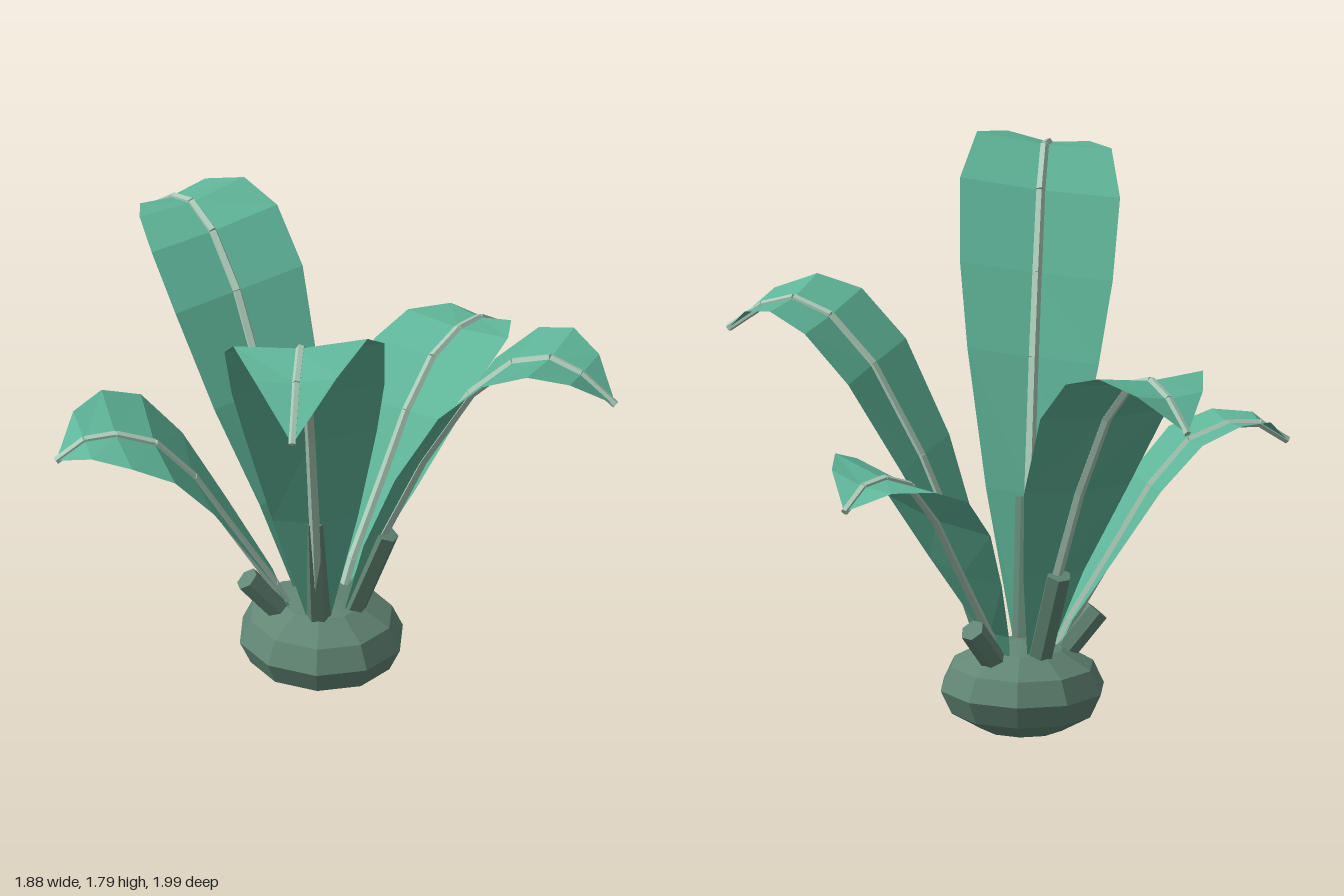
import * as THREE from 'three';

const leafMat = new THREE.MeshStandardMaterial({ color: 0x5fb599, flatShading: true, side: THREE.DoubleSide });
leafMat.name = 'leafGreen';
const bulbMat = new THREE.MeshStandardMaterial({ color: 0x628675, flatShading: true });
bulbMat.name = 'bulbGreyGreen';
const ribMat = new THREE.MeshStandardMaterial({ color: 0xaacab8, flatShading: true });
ribMat.name = 'ribPaleGreen';

// Leaf rows as (distance from the centre, height, half width), and the end of the sheath
const SHORT = {
  rows: [[0.1, 0.24, 0.03], [0.16, 0.37, 0.07], [0.3, 0.595, 0.155], [0.43, 0.81, 0.22],
    [0.56, 0.955, 0.24], [0.69, 1.005, 0.215], [0.795, 1.0, 0.13], [0.89, 0.935, 0]],
  sheath: [0.25, 0.4],
};
const MEDIUM = {
  rows: [[0.09, 0.24, 0.03], [0.215, 0.58, 0.115], [0.36, 0.9, 0.2], [0.53, 1.19, 0.243],
    [0.68, 1.34, 0.24], [0.81, 1.385, 0.2], [0.92, 1.35, 0.125], [1.04, 1.26, 0]],
  sheath: [0.23, 0.59],
};
const TALL = {
  rows: [[0.1, 0.24, 0.03], [0.27, 0.735, 0.14], [0.44, 1.15, 0.215], [0.57, 1.4, 0.25],
    [0.715, 1.64, 0.262], [0.87, 1.75, 0.22], [1.035, 1.715, 0.134], [1.2, 1.58, 0]],
  sheath: [0.235, 0.735],
};

// Blade: rows of margin, rib, margin, slightly folded along the rib and rolled to one side
function bladeGeometry(rows, points, roll) {
  const pos = [], index = [];
  points.forEach((p, i) => {
    const a = points[Math.max(i - 1, 0)], b = points[Math.min(i + 1, points.length - 1)];
    const t = b.clone().sub(a).normalize();
    const w = rows[i][2];
    const fold = Math.min(0.02, w * 0.2);
    const mx = p.x - t.y * fold, my = p.y + t.x * fold;
    pos.push(mx, my - w * roll, -w, p.x, p.y, 0, mx, my + w * roll, w);
    if (i === 0) return;
    const k = i * 3;
    for (const j of [0, 1]) {
      index.push(k - 3 + j, k - 2 + j, k + j, k + j, k - 2 + j, k + 1 + j);
    }
  });
  const geo = new THREE.BufferGeometry();
  geo.setAttribute('position', new THREE.Float32BufferAttribute(pos, 3));
  geo.setIndex(index);
  geo.computeVertexNormals();
  return geo;
}

// Straight bar between two points
function bar(name, a, b, r0, r1, sides, mat) {
  const dir = b.clone().sub(a);
  const mesh = new THREE.Mesh(new THREE.CylinderGeometry(r1, r0, dir.length(), sides), mat);
  mesh.position.copy(a).add(b).multiplyScalar(0.5);
  mesh.quaternion.setFromUnitVectors(new THREE.Vector3(0, 1, 0), dir.normalize());
  mesh.name = name;
  return mesh;
}

function makeLeaf({ rows, sheath }, roll) {
  const leaf = new THREE.Group();
  const points = rows.map(([r, y]) => new THREE.Vector3(r, y, 0));
  const blade = new THREE.Mesh(bladeGeometry(rows, points, roll), leafMat);
  blade.name = 'blade';
  leaf.add(blade);

  // Midrib, tapering towards the tip
  const rib = new THREE.Group();
  rib.name = 'midrib';
  for (let i = 1; i < points.length; i++) {
    rib.add(bar('ribSegment', points[i - 1], points[i], 0.021 - i * 0.001, 0.02 - i * 0.001, 5, ribMat));
  }
  leaf.add(rib);

  // Sheath around the foot of the leaf
  leaf.add(bar('sheath', new THREE.Vector3(0.08, 0.2, 0), new THREE.Vector3(...sheath, 0), 0.042, 0.042, 6, bulbMat));
  return leaf;
}

export function createModel() {
  const model = new THREE.Group();
  model.name = 'plant';
  const plant = new THREE.Group();
  plant.name = 'bulbAndLeaves';
  plant.position.x = 0.043;
  model.add(plant);

  // Flattened bulb
  const bulb = new THREE.Mesh(new THREE.SphereGeometry(1, 10, 6), bulbMat);
  bulb.scale.set(0.268, 0.156, 0.28);
  bulb.position.y = 0.157;
  bulb.name = 'bulb';
  plant.add(bulb);

  // Five leaves, evenly turned around the bulb, each with its own roll
  const leaves = [[SHORT, 0.13], [MEDIUM, 0.07], [TALL, -0.11], [SHORT, 0.13], [MEDIUM, 0.07]];
  leaves.forEach(([kind, roll], i) => {
    const leaf = makeLeaf(kind, roll);
    leaf.name = 'leaf' + (i + 1);
    leaf.rotation.y = -i * Math.PI * 2 / 5;
    plant.add(leaf);
  });
  return model;
}
